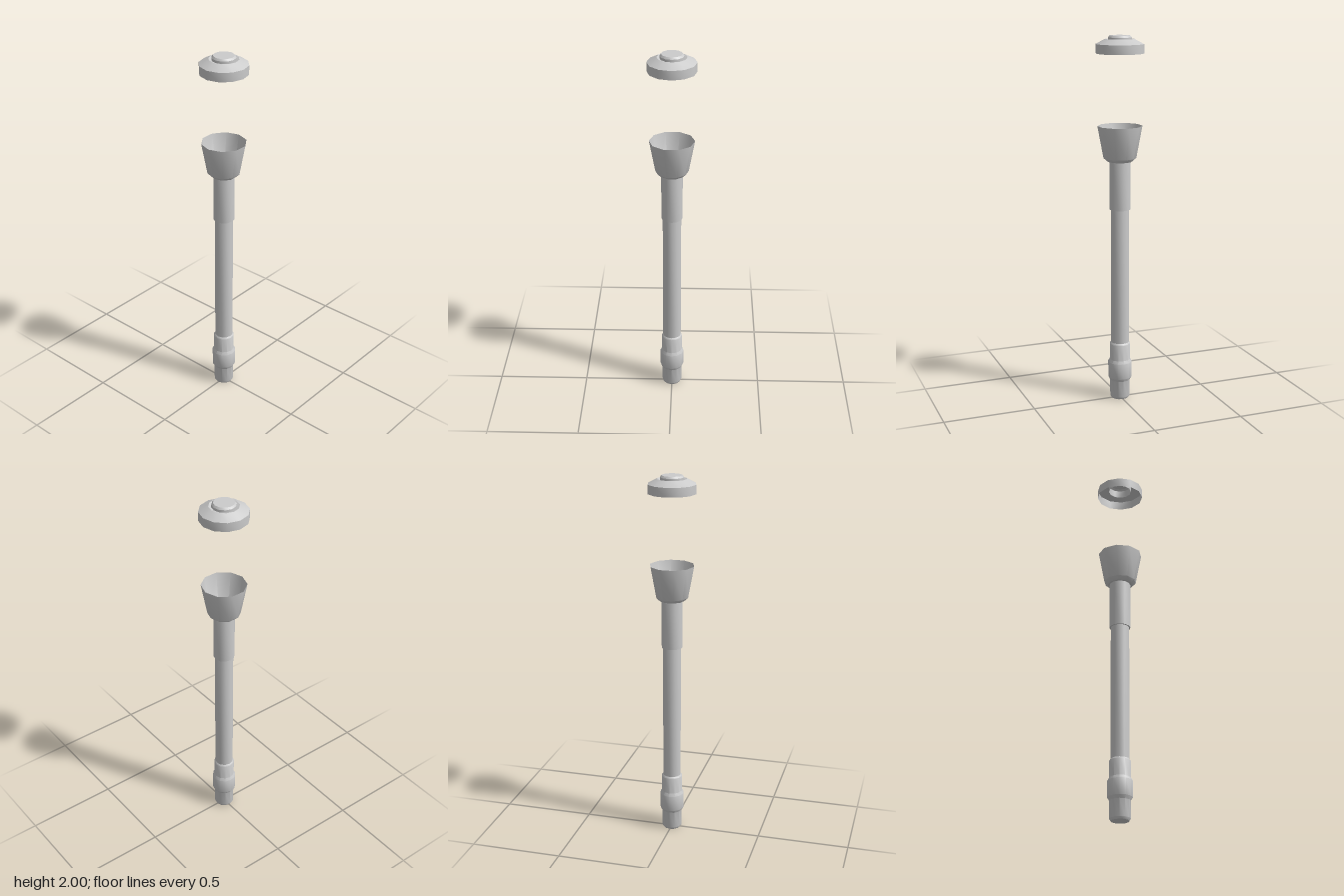
import * as THREE from 'three';
import { toCreasedNormals } from 'three/addons/utils/BufferGeometryUtils.js';

const material = new THREE.MeshStandardMaterial({ color: 0xcccccc, side: THREE.DoubleSide });

// Turned part from [radius, height] pairs listed bottom to top, with a corner on the x axis
function turned(name, sides, profile) {
  const points = profile.map(([r, y]) => new THREE.Vector2(r, y));
  const lathe = new THREE.LatheGeometry(points, sides, Math.PI / 2);
  const mesh = new THREE.Mesh(toCreasedNormals(lathe, 0.65), material);
  mesh.name = name;
  return mesh;
}

export function createModel() {
  const group = new THREE.Group();
  group.name = 'post';

  // Foot with a thicker collar in the middle and bevelled ends
  group.add(turned('foot', 12, [
    [0, 0], [0.048, 0], [0.055, 0.012], [0.055, 0.105], [0.066, 0.122],
    [0.066, 0.21], [0.057, 0.226], [0.057, 0.316], [0.05, 0.325],
  ]));

  // Long shaft
  group.add(turned('shaft', 12, [[0.05, 0.315], [0.05, 1.09]]));

  // Wider sleeve below the cup
  group.add(turned('sleeve', 12, [[0.05, 1.075], [0.057, 1.075], [0.057, 1.342], [0, 1.342]]));

  // Open flared cup
  group.add(turned('cup', 10, [[0.057, 1.337], [0.068, 1.337], [0.088, 1.355], [0.12, 1.527]]));

  // Floating lid: open shell with a lip dipping in to the knob
  group.add(turned('lid', 12, [[0.128, 1.907], [0.128, 1.956], [0.078, 1.982], [0.063, 1.977]]));

  // Knob through the lid, hollow underneath
  group.add(turned('knob', 12, [[0.063, 1.948], [0.063, 1.99], [0.055, 2], [0, 2]]));

  return group;
}
